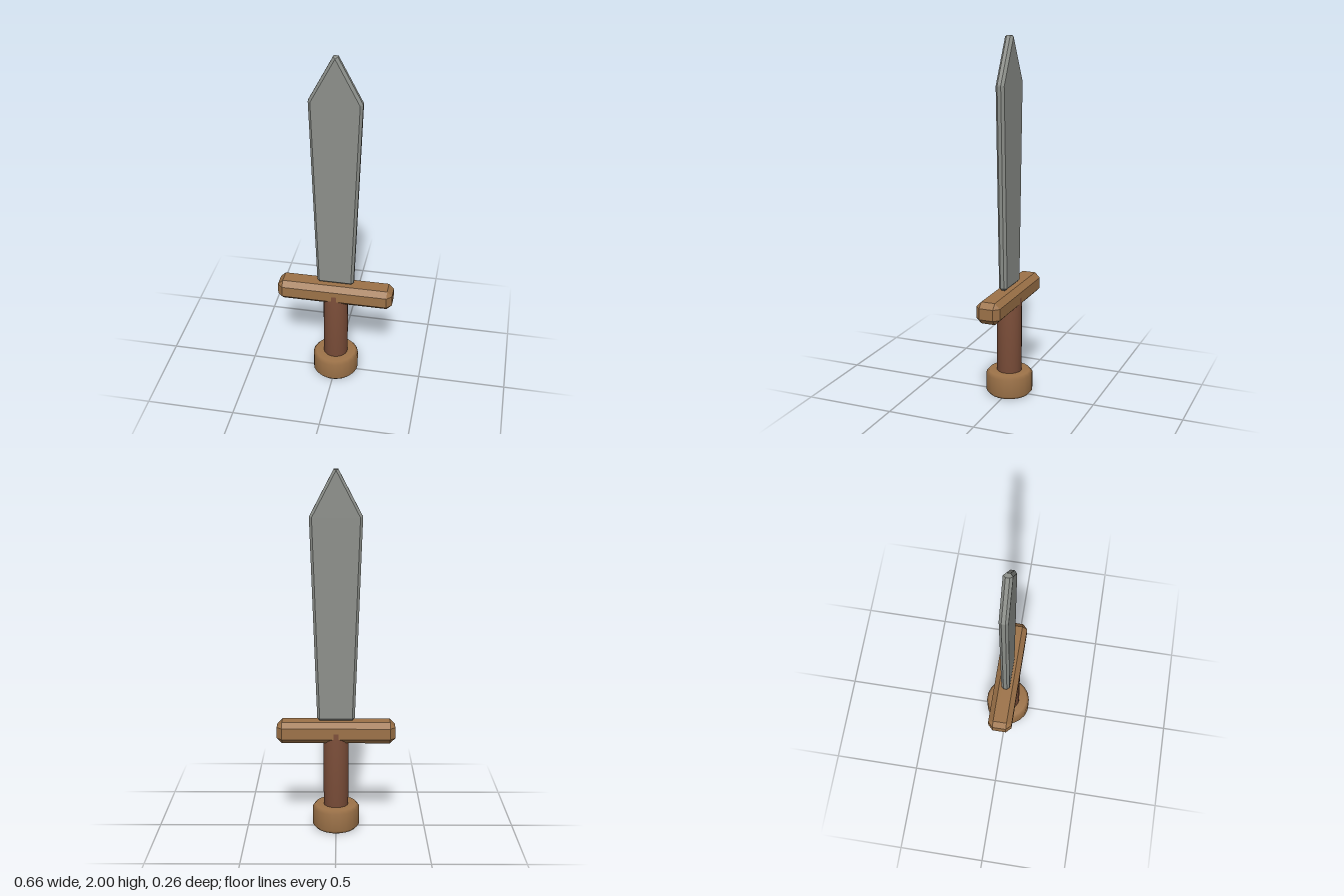
import * as THREE from 'three';
import { ConvexGeometry } from 'three/addons/geometries/ConvexGeometry.js';

const SIDES = 20;

function part(name, geometry, color, flatShading = false) {
  const mesh = new THREE.Mesh(geometry, new THREE.MeshStandardMaterial({ color, flatShading }));
  mesh.name = name;
  return mesh;
}

// Box with every edge and corner chamfered by c
function chamferedBox(x, y, z, c) {
  const points = [];
  for (const sx of [-1, 1]) for (const sy of [-1, 1]) for (const sz of [-1, 1]) {
    points.push(
      new THREE.Vector3(sx * x, sy * (y - c), sz * (z - c)),
      new THREE.Vector3(sx * (x - c), sy * y, sz * (z - c)),
      new THREE.Vector3(sx * (x - c), sy * (y - c), sz * z)
    );
  }
  return new ConvexGeometry(points);
}

// Flat plate: the face outline on both sides, with a wider bevelled rim between them
function bevelledPlate(face, half, bevel) {
  const points = [];
  face.forEach((p, i) => {
    const q = face[(i + 1) % face.length];
    const n = new THREE.Vector2(q.y - p.y, p.x - q.x).normalize().multiplyScalar(bevel);
    for (const s of [-1, 1]) {
      points.push(new THREE.Vector3(p.x, p.y, s * half));
      for (const e of [p, q]) {
        points.push(new THREE.Vector3(e.x + n.x, e.y + n.y, s * (half - bevel)));
      }
    }
  });
  return new ConvexGeometry(points);
}

// Turned part, its facets centred on the front
function turned(profile) {
  const points = profile.map(([r, y]) => new THREE.Vector2(r, y));
  return new THREE.LatheGeometry(points, SIDES, -Math.PI / SIDES);
}

export function createModel() {
  const group = new THREE.Group();
  group.name = 'sword';
  const wood = 0x9c7248;

  // Rounded pommel at the foot
  group.add(part('pommel', turned([
    [0, 0], [0.115, 0], [0.131, 0.018], [0.131, 0.117], [0.115, 0.135], [0, 0.135]
  ]), wood));

  // Grip, running up into the guard
  group.add(part('grip', turned([
    [0, 0.09], [0.07, 0.09], [0.07, 0.565], [0.058, 0.575], [0, 0.575]
  ]), 0x7d4f3a));

  // Crossguard
  const guard = part('crossguard', chamferedBox(0.328, 0.06, 0.068, 0.029), wood, true);
  guard.position.y = 0.565;
  group.add(guard);

  // Blade, widening towards the point
  const face = [[-0.09, 0.642], [0.09, 0.642], [0.129, 1.748], [0, 1.993], [-0.129, 1.748]]
    .map(([x, y]) => new THREE.Vector2(x, y));
  group.add(part('blade', bevelledPlate(face, 0.024, 0.014), 0x8c8f8a, true));

  return group;
}
